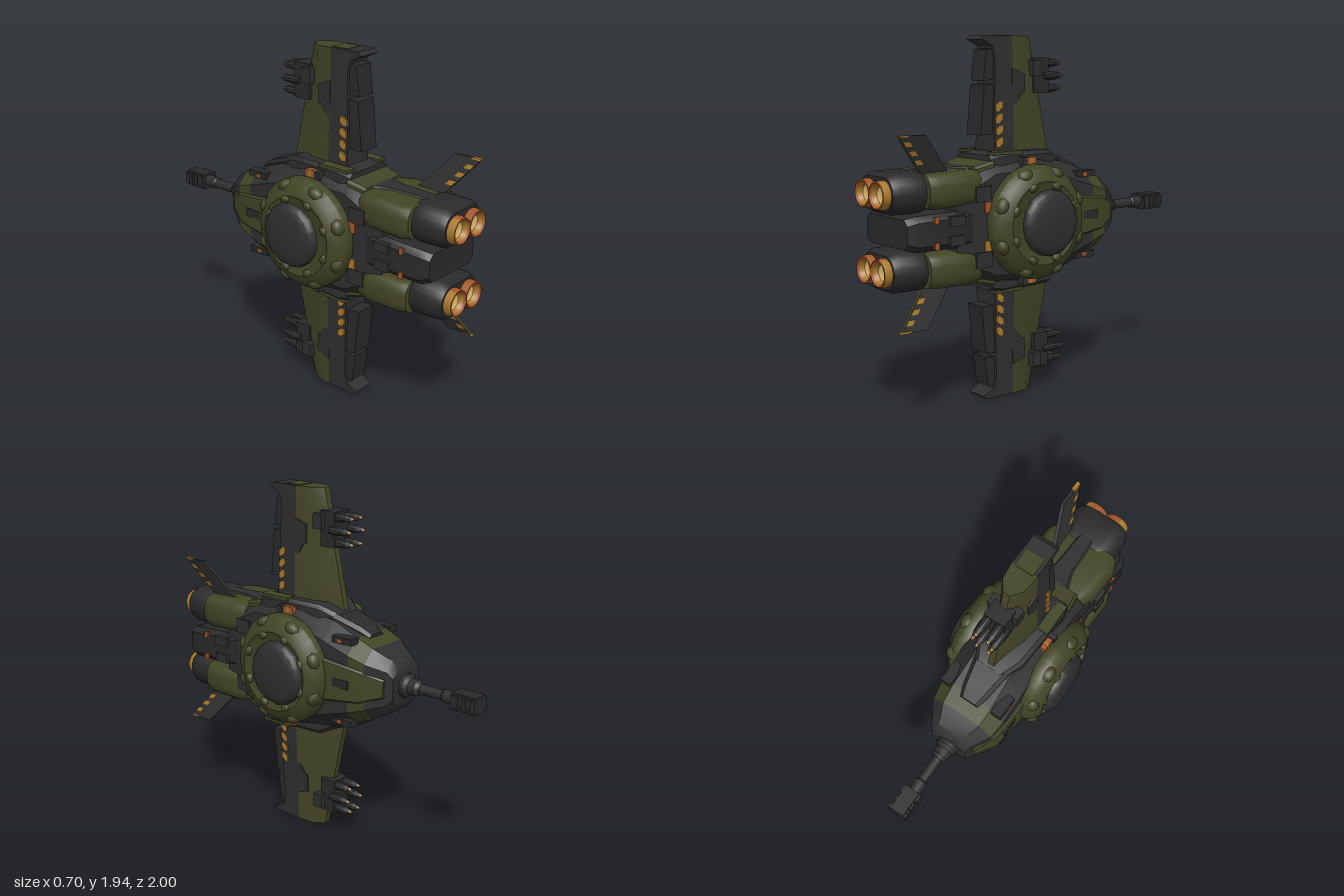
import * as THREE from 'three';
import { toCreasedNormals } from 'three/addons/utils/BufferGeometryUtils.js';

const mat = (name, color) => Object.assign(new THREE.MeshStandardMaterial({ color }), { name });
const dark = mat('charcoal', 0x2f2f30);
const black = mat('deep charcoal', 0x2a2a2b);
const olive = mat('olive', 0x434526);
const gold = mat('gold', 0xa8782c);
const rust = mat('rust orange', 0xa3562a);
const glow = mat('pale glow', 0xdcb86a);

const MID = 0.968; // height of the hull axis
const V = (x, y, z) => new THREE.Vector3(x, y, z);

function add(parent, name, geo, material, crease = 0.6) {
  const mesh = new THREE.Mesh(toCreasedNormals(geo, crease), material);
  mesh.name = name;
  parent.add(mesh);
}

function box(parent, name, material, x, y, z, w, h, d) {
  add(parent, name, new THREE.BoxGeometry(w, h, d).translate(x, y, z), material);
}

// Closed skin through convex rings of equal length, always facing outward
function loft(rings) {
  const tris = [];
  const n = rings[0].length;
  for (let i = 0; i + 1 < rings.length; i++) {
    const a = rings[i], b = rings[i + 1];
    for (let j = 0; j < n; j++) {
      const k = (j + 1) % n;
      tris.push([a[j], a[k], b[k]], [a[j], b[k], b[j]]);
    }
  }
  const first = rings[0], last = rings[rings.length - 1];
  for (let j = 1; j + 1 < n; j++) tris.push([first[0], first[j + 1], first[j]], [last[0], last[j], last[j + 1]]);
  const c = first[0];
  let volume = 0;
  for (const [p, q, r] of tris) volume += p.clone().sub(c).dot(q.clone().sub(c).cross(r.clone().sub(c)));
  const points = tris.flatMap(([p, q, r]) => (volume > 0 ? [p, q, r] : [p, r, q]));
  return new THREE.BufferGeometry().setFromPoints(points);
}

// Rounded rectangle at depth z; one step gives a plain chamfer
function ring(z, hw, hh, r, cy = 0, steps = 1, cx = 0) {
  const out = [];
  [[1, 1], [-1, 1], [-1, -1], [1, -1]].forEach(([sx, sy], q) => {
    for (let i = 0; i <= steps; i++) {
      const a = (q + i / steps) * Math.PI / 2;
      out.push(V(cx + sx * (hw - r) + r * Math.cos(a), cy + sy * (hh - r) + r * Math.sin(a), z));
    }
  });
  return out;
}

// Plate drawn in the side plane as [z, y] points, with optional holes
function sidePlate(points, width, x = 0, holes = []) {
  const toVec = (list) => list.map(([z, y]) => new THREE.Vector2(z, y));
  const shape = new THREE.Shape(toVec(points));
  holes.forEach((h) => shape.holes.push(new THREE.Path(toVec(h))));
  return new THREE.ExtrudeGeometry(shape, { depth: width, bevelEnabled: false })
    .translate(0, 0, -width / 2).rotateY(-Math.PI / 2).translate(x, 0, 0);
}

const lathe = (pts, n, start = 0, arc = Math.PI * 2) =>
  new THREE.LatheGeometry(pts.map(([r, y]) => new THREE.Vector2(r, y)), n, start, arc);

function buildHull(g) {
  const s = [
    ring(-0.54, 0.11, 0.095, 0.04), ring(-0.51, 0.125, 0.14, 0.05), ring(-0.41, 0.185, 0.195, 0.07),
    ring(-0.31, 0.2, 0.235, 0.08), ring(-0.15, 0.205, 0.295, 0.09), ring(0.1, 0.205, 0.335, 0.06),
    ring(0.36, 0.195, 0.325, 0.06), ring(0.45, 0.2, 0.295, 0.07), ring(0.6, 0.18, 0.25, 0.07)];
  add(g, 'noseTip', loft(s.slice(0, 3)), dark);
  add(g, 'noseBand', loft(s.slice(2, 4)), olive);
  add(g, 'foreHull', loft(s.slice(3, 5)), dark);
  add(g, 'midHull', loft(s.slice(4)), dark);
  // Rear block between the engine pairs
  add(g, 'rearBlock', loft([ring(0.4, 0.17, 0.11, 0.03), ring(0.55, 0.2, 0.095, 0.03),
    ring(0.85, 0.215, 0.09, 0.03), ring(0.9, 0.19, 0.075, 0.03)]), black);
  for (const side of [-1, 1]) {
    // Armour on the flanks of the nose
    const cheek = [ring(-0.5, 0.012, 0.05, 0.008, 0, 1, side * 0.13), ring(-0.38, 0.014, 0.09, 0.01, 0, 1, side * 0.19),
      ring(-0.14, 0.02, 0.12, 0.012, 0, 1, side * 0.208)];
    add(g, 'noseCheek', loft(cheek), olive);
    box(g, 'cheekSlot', black, side * 0.21, 0, -0.27, 0.02, 0.045, 0.11);
    for (const up of [-1, 1]) {
      box(g, 'rearLamp', rust, side * 0.214, up * 0.065, 0.745, 0.012, 0.035, 0.025);
      box(g, 'flankLamp', up > 0 ? rust : gold, side * 0.193, up * 0.1, 0.42, 0.03, 0.055, 0.045);
      box(g, 'flankBox', dark, side * 0.195, up * 0.05, 0.62, 0.05, 0.05, 0.09);
      box(g, 'flankPanel', dark, side * 0.19, up * 0.17, 0.45, 0.04, 0.08, 0.1);
      box(g, 'noseHood', black, side * 0.16, up * 0.225, -0.26, 0.06, 0.035, 0.13);
      box(g, 'noseLamp', rust, side * 0.188, up * 0.222, -0.25, 0.012, 0.018, 0.03);
    }
  }
}

// Large round pods on both flanks
function buildPod(g, side) {
  const pod = new THREE.Group();
  pod.name = side > 0 ? 'leftPod' : 'rightPod';
  pod.position.z = 0.122;
  g.add(pod);
  const turn = (geo) => geo.rotateZ(-side * Math.PI / 2);
  add(pod, 'podShell', turn(lathe([[0.26, 0.1], [0.285, 0.16], [0.305, 0.2], [0.303, 0.245], [0.275, 0.283], [0.22, 0.306], [0.2, 0.297], [0, 0.297]], 32)), olive);
  const hub = turn(lathe([[0.18, 0.27], [0.175, 0.315], [0.16, 0.335], [0.125, 0.348], [0, 0.348]], 16)).translate(0, 0, -0.03);
  add(pod, 'podHub', hub, dark);
  for (let i = 0; i < 8; i++) {
    const a = (i + 0.5) * Math.PI / 4;
    const lump = (name, x, r, w, h, d) => {
      const geo = new THREE.SphereGeometry(1, 10, 8).scale(w, h, d).translate(side * x, r, 0).rotateX(a);
      add(pod, name, geo, olive, 1);
    };
    lump('podLug', 0.255, 0.27, 0.042, 0.035, 0.05);
    lump('podBolt', 0.298, 0.205, 0.018, 0.022, 0.03);
  }
  for (const up of [-1, 1]) {
    box(pod, 'podVent', rust, side * 0.172, up * 0.305, 0, 0.03, 0.064, 0.07);
    box(pod, 'podVentBar', gold, side * 0.172, up * 0.305, 0, 0.034, 0.068, 0.014);
    box(pod, 'ventHood', dark, side * 0.175, up * 0.305, 0.052, 0.045, 0.07, 0.03);
  }
}

// Wing measurements at height y above the hull axis
const lerp = THREE.MathUtils.lerp;
const halfThick = (y) => lerp(0.09, 0.072, (y - 0.36) / 0.6);
function wingRings(part) {
  const rows = [[0.33, -0.135, 0.29], [0.46, -0.105, 0.285], [0.86, -0.02, 0.27], [0.968, 0.005, 0.3]];
  return rows.map(([y, lead, trail]) => {
    const t = halfThick(y), split = 0.16;
    return part === 'front'
      ? [V(-t, y, split), V(-t * 0.85, y, 0.06), V(-0.018, y, lead), V(0.018, y, lead), V(t * 0.85, y, 0.06), V(t, y, split)]
      : [V(-t, y, split), V(t, y, split), V(t * 0.93, y, trail), V(-t * 0.93, y, trail)];
  });
}

function buildWing(g) {
  add(g, 'wingFront', loft(wingRings('front')), olive);
  add(g, 'wingRear', loft(wingRings('rear')), dark);
  add(g, 'wingTip', sidePlate([[0.355, 0.95], [0.33, 0.969], [0.16, 0.969], [0.16, 0.93], [0.25, 0.9]], 0.135), dark);
  box(g, 'wingTipCap', olive, 0, 0.969, 0.2, 0.1, 0.006, 0.1);
  add(g, 'outerFlap', sidePlate([[0.26, 0.905], [0.315, 0.895], [0.335, 0.735], [0.26, 0.745]], 0.11), black);
  add(g, 'innerFlap', sidePlate([[0.27, 0.72], [0.335, 0.715], [0.36, 0.455], [0.27, 0.46]], 0.125), black);
  // Slanted stripes and a camouflage patch on each face
  const patch = [[0.165, 0.8], [0.165, 0.6], [0.13, 0.62], [0.105, 0.665], [0.085, 0.67], [0.08, 0.77], [0.12, 0.785]];
  for (const side of [-1, 1]) {
    for (let i = 0; i < 4; i++) {
      const y = 0.392 + i * 0.062;
      const stripe = [[0.278, y], [0.278, y + 0.03], [0.255, y + 0.05], [0.235, y + 0.05], [0.235, y + 0.02], [0.258, y]];
      add(g, 'wingStripe', sidePlate(stripe, 0.009, side * (halfThick(y + 0.02) - 0.003)), gold);
    }
    add(g, 'camoPatch', sidePlate(patch, 0.009, side * 0.0775), dark);
  }
  // Rocket cluster on the leading edge
  box(g, 'rocketRack', black, 0, 0.76, -0.05, 0.12, 0.19, 0.1);
  box(g, 'rackBrace', dark, 0, 0.8, 0.0, 0.175, 0.08, 0.06);
  for (const side of [-1, 1]) {
    for (let i = 0; i < 3; i++) {
      const at = (geo) => geo.rotateX(-Math.PI / 2).translate(side * (i === 1 ? 0.055 : 0.035), 0.69 + i * 0.068, -0.065);
      add(g, 'rocket', at(lathe([[0, 0], [0.02, 0], [0.024, 0.05], [0.02, 0.1], [0.01, 0.13]], 10)), dark);
      add(g, 'rocketTip', at(lathe([[0.01, 0.13], [0, 0.15]], 10)), gold);
    }
  }
}

// One wing, its root and its engine pair; used above and below
function buildHalf(g) {
  buildWing(g);
  add(g, 'wingRoot', loft([ring(-0.15, 0.09, 0.04, 0.02, 0.28), ring(-0.05, 0.14, 0.055, 0.02, 0.31),
    ring(0.3, 0.165, 0.055, 0.02, 0.315), ring(0.36, 0.15, 0.05, 0.02, 0.305)]), dark);
  add(g, 'noseRidge', loft([ring(-0.34, 0.055, 0.04, 0.015, 0.2), ring(-0.28, 0.075, 0.05, 0.02, 0.225),
    ring(-0.1, 0.11, 0.05, 0.02, 0.285)]), black);
  add(g, 'rearDeck', loft([ring(0.35, 0.165, 0.03, 0.015, 0.3), ring(0.46, 0.15, 0.03, 0.015, 0.275)]), olive);
  add(g, 'spine', loft([ring(0.44, 0.1, 0.04, 0.02, 0.266), ring(0.56, 0.065, 0.04, 0.02, 0.262), ring(0.87, 0.05, 0.03, 0.02, 0.268)]), dark);
  add(g, 'engineCowl', loft([ring(0.45, 0.19, 0.085, 0.06, 0.205, 4), ring(0.53, 0.212, 0.09, 0.06, 0.205, 4),
    ring(0.72, 0.22, 0.09, 0.06, 0.2, 4), ring(0.77, 0.2, 0.085, 0.06, 0.2, 4)]), olive);
  add(g, 'engineHousing', loft([ring(0.74, 0.16, 0.095, 0.09, 0.195, 6), ring(0.78, 0.176, 0.105, 0.1, 0.195, 6),
    ring(0.92, 0.17, 0.105, 0.1, 0.195, 6), ring(0.955, 0.152, 0.085, 0.08, 0.195, 6)]), black);
  for (const side of [-1, 1]) {
    box(g, 'shoulderPlate', olive, side * 0.125, 0.364, 0.25, 0.06, 0.018, 0.19);
    // Nozzle wall, gold outboard and rust elsewhere, around a hollow throat
    const at = (geo) => geo.rotateX(Math.PI / 2).translate(side * 0.067, 0.193, 0);
    const wall = [[0.07, 0.92], [0.074, 0.965], [0.07, 0.998]];
    const arc = Math.PI * 0.8;
    add(g, 'nozzleOuterWall', at(lathe(wall, 12, side * Math.PI / 2 - arc / 2, arc)), gold);
    add(g, 'nozzleInnerWall', at(lathe(wall, 18, side * Math.PI / 2 + arc / 2, Math.PI * 2 - arc)), rust);
    add(g, 'nozzleRim', at(lathe([[0.07, 0.998], [0.064, 1], [0.054, 0.99]], 24)), rust);
    add(g, 'nozzleThroat', at(lathe([[0.054, 0.99], [0.043, 0.966]], 24)), gold);
    add(g, 'nozzleGlow', at(lathe([[0.043, 0.966], [0.03, 0.96], [0, 0.958]], 24)), glow);
  }
}

// Swept tail fins, both leaning to the model's left
function buildFin(g, up) {
  const quad = (t, c0, c1, half) => {
    const x = lerp(0.1, 0.172, t), y = up * lerp(0.27, 0.485, t);
    const rear = lerp(0.75, 0.935, t), front = lerp(0.59, 0.78, t);
    const z0 = lerp(rear, front, c0), z1 = lerp(rear, front, c1);
    return [V(x - half, y, z0), V(x + half, y, z0), V(x + half, y, z1), V(x - half, y, z1)];
  };
  add(g, 'tailFin', loft([quad(0, 0, 1, 0.011), quad(1, 0, 1, 0.009)]), dark);
  add(g, 'finEdge', loft([quad(0, -0.02, 0.01, 0.0105), quad(1, -0.02, 0.01, 0.0085)]), olive);
  add(g, 'finTip', loft([quad(0.97, -0.02, 0.35, 0.011), quad(1.01, -0.02, 0.35, 0.011)]), gold);
  for (const t of [0.3, 0.52, 0.74]) {
    add(g, 'finStripe', loft([quad(t, 0.01, 0.26, 0.0125), quad(t + 0.11, 0.01, 0.26, 0.0125)]), gold);
  }
}

function buildGun(g) {
  const barrel = [[0, 0.5], [0.065, 0.5], [0.065, 0.56], [0.045, 0.58], [0.045, 0.62], [0.028, 0.64], [0.026, 0.78],
    [0.034, 0.79], [0.034, 0.86], [0, 0.86]];
  add(g, 'gunBarrel', lathe(barrel, 16).rotateX(-Math.PI / 2), dark);
  const slot = (z) => [[z, -0.03], [z, 0.03], [z + 0.026, 0.03], [z + 0.026, -0.03]];
  add(g, 'muzzleBrake', sidePlate([[-1, -0.045], [-0.855, -0.045], [-0.855, 0.045], [-1, 0.045]], 0.082, 0, [slot(-0.974), slot(-0.927)]), black);
  for (const [z, d] of [[-0.987, 0.026], [-0.9375, 0.021], [-0.878, 0.045]]) {
    for (const side of [-1, 1]) box(g, 'muzzleRib', black, side * 0.044, 0, z, 0.022, 0.07, d);
  }
}

export function createModel() {
  const model = new THREE.Group();
  model.name = 'gunship';
  const craft = new THREE.Group();
  craft.name = 'craft';
  craft.position.y = MID;
  model.add(craft);
  buildHull(craft);
  for (const side of [-1, 1]) {
    buildPod(craft, side);
    buildFin(craft, side);
  }
  const upper = new THREE.Group();
  upper.name = 'upperHalf';
  buildHalf(upper);
  const lower = upper.clone();
  lower.name = 'lowerHalf';
  lower.rotation.z = Math.PI;
  craft.add(upper, lower);
  buildGun(craft);
  return model;
}
